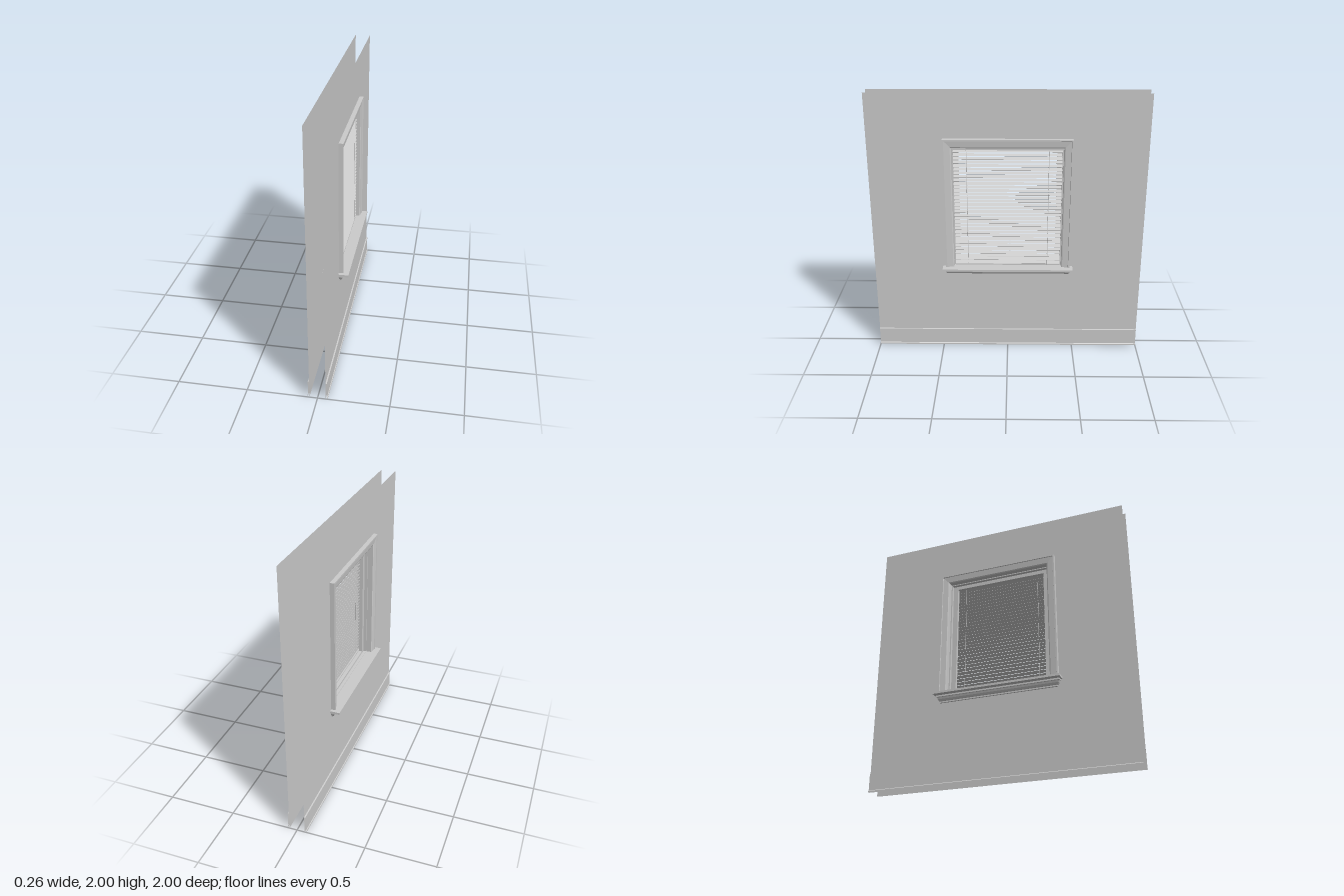
import * as THREE from 'three';

const material = new THREE.MeshStandardMaterial({ color: 0xcccccc, side: THREE.DoubleSide, flatShading: true });

function add(group, name, geometry, x = 0, y = 0, z = 0) {
  const mesh = new THREE.Mesh(geometry, material);
  mesh.name = name;
  mesh.position.set(x, y, z);
  group.add(mesh);
  return mesh;
}

// Sweeps a profile of [offset, height] round mitred corners [a, b, da, db];
// place(a, b, height) turns each point into x, y, z.
function mitredSweep(profile, corners, closed, place) {
  const positions = [];
  const at = (c, p) => place(c[0] + p[0] * c[2], c[1] + p[0] * c[3], p[1]);
  const runs = closed ? corners.length : corners.length - 1;
  for (let i = 0; i < runs; i++) {
    const c = corners[i], d = corners[(i + 1) % corners.length];
    for (let j = 0; j < profile.length - 1; j++) {
      const p = profile[j], q = profile[j + 1];
      const [v0, v1, v2, v3] = [at(c, p), at(d, p), at(d, q), at(c, q)];
      positions.push(...v0, ...v1, ...v2, ...v0, ...v2, ...v3);
    }
  }
  const geometry = new THREE.BufferGeometry();
  geometry.setAttribute('position', new THREE.Float32BufferAttribute(positions, 3));
  geometry.computeVertexNormals();
  return geometry;
}

const onWall = (z, y, x) => [x, y, z];
const HALF = 0.4, TOP = 1.61, BOTTOM = 0.685, WALL = 0.057;

// One face of the wall with its trim, facing +x
function createSide() {
  const side = new THREE.Group();

  // Wall sheet with the window opening
  const wall = new THREE.Shape([[-1, 0], [1, 0], [1, 2], [-1, 2]].map(p => new THREE.Vector2(...p)));
  wall.holes.push(new THREE.Path(
    [[-0.42, 0.67], [-0.42, 1.63], [0.42, 1.63], [0.42, 0.67]].map(p => new THREE.Vector2(...p))));
  add(side, 'wall', new THREE.ShapeGeometry(wall).rotateY(Math.PI / 2), WALL);

  // Skirting board with a small foot
  add(side, 'baseboard', mitredSweep(
    [[0.137, WALL], [0.135, 0.066], [0.015, 0.066], [0.01, 0.071], [0, 0.071]],
    [[-1, 0, 0, 1], [1, 0, 0, 1]], false, onWall));

  // Casing on both sides and the top, with a raised outer band
  add(side, 'casing', mitredSweep(
    [[0, WALL], [0, 0.074], [0.008, 0.078], [0.05, 0.083], [0.052, 0.089], [0.062, 0.089], [0.062, WALL]],
    [[-HALF, BOTTOM, -1, 0], [-HALF, TOP, -1, 1.05], [HALF, TOP, 1, 1.05], [HALF, BOTTOM, 1, 0]],
    false, onWall));

  // Stepped jamb running in to the sash at the middle of the wall
  add(side, 'jambAndSash', mitredSweep(
    [[0, 0.06], [0, 0.036], [0.009, 0.036], [0.009, 0.012], [0.046, 0.012], [0.046, 0]],
    [[-HALF, BOTTOM, 1, 0.4], [-HALF, TOP, 1, -0.75], [HALF, TOP, -1, -0.75], [HALF, BOTTOM, -1, 0.4]],
    true, onWall));

  // Sill board
  add(side, 'sill', new THREE.BoxGeometry(0.073, 0.016, 0.97), 0.0925, 0.676, 0);

  // Moulded apron with returned ends under the sill
  add(side, 'apron', mitredSweep(
    [[0.033, 0.668], [0.033, 0.656], [0.028, 0.653], [0.024, 0.64], [0.017, 0.628], [0.012, 0.625],
      [0.012, 0.615], [0, 0.615]],
    [[-0.44, WALL, -1, 0], [-0.44, WALL, -1, 1], [0.44, WALL, 1, 1], [0.44, WALL, 1, 0]],
    false, (z, x, y) => [x, y, z]));
  return side;
}

// Slatted blind hanging in the +x half of the opening
function createBlind() {
  const blind = new THREE.Group();
  blind.name = 'blind';
  const x = 0.036, count = 33, low = 0.708, high = 1.578;
  add(blind, 'headRail', new THREE.BoxGeometry(0.03, 0.018, 0.78), x, 1.598, 0);
  add(blind, 'bottomRail', new THREE.BoxGeometry(0.026, 0.008, 0.78), x, 0.692, 0);
  const slat = new THREE.BoxGeometry(0.029, 0.0015, 0.78);
  for (let i = 0; i < count; i++) {
    const y = low + (high - low) * i / (count - 1);
    add(blind, 'slat', slat, x, y, 0).rotation.z = -0.42;
  }
  // Ladder cords along both edges of the slats
  const cord = new THREE.CylinderGeometry(0.0015, 0.0015, 0.9, 6);
  for (const z of [-0.295, 0.295])
    for (const dx of [-0.014, 0.014]) add(blind, 'ladderCord', cord, x + dx, 1.142, z);
  return blind;
}

export function createModel() {
  const model = new THREE.Group();
  model.name = 'windowWall';
  const near = createSide();
  near.name = 'leftSide';
  const far = createSide();
  far.name = 'rightSide';
  far.rotation.y = Math.PI;
  model.add(near, far, createBlind());
  return model;
}
